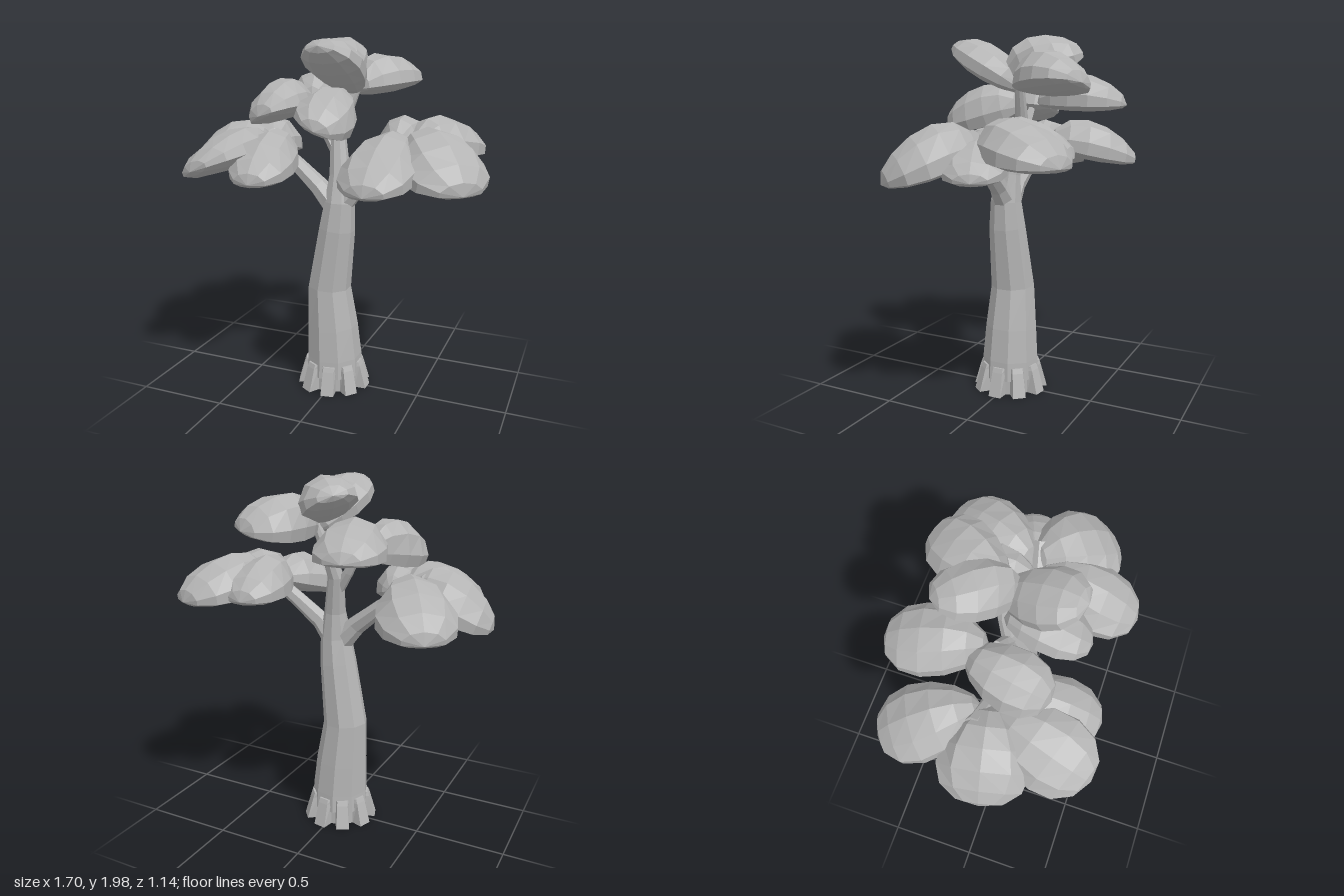
import * as THREE from 'three';

const V = (a) => new THREE.Vector3(...a);

// Skin a list of equal-length rings (bottom to top), capped at both ends.
function loft(rings) {
  const n = rings[0].length, pos = [], idx = [];
  rings.forEach((ring) => ring.forEach((p) => pos.push(p.x, p.y, p.z)));
  for (let r = 0; r < rings.length - 1; r++) {
    for (let i = 0; i < n; i++) {
      const a = r * n + i, b = r * n + (i + 1) % n;
      idx.push(a, a + n, b, b, a + n, b + n);
    }
  }
  [rings[0], rings[rings.length - 1]].forEach((ring, end) => {
    const c = new THREE.Vector3();
    ring.forEach((p) => c.addScaledVector(p, 1 / n));
    const ci = pos.length / 3, start = end ? (rings.length - 1) * n : 0;
    pos.push(c.x, c.y, c.z);
    for (let i = 0; i < n; i++) {
      const a = start + i, b = start + (i + 1) % n;
      if (end) idx.push(a, ci, b); else idx.push(a, b, ci);
    }
  });
  const g = new THREE.BufferGeometry();
  g.setAttribute('position', new THREE.Float32BufferAttribute(pos, 3));
  g.setIndex(idx);
  g.computeVertexNormals();
  return g;
}

// Tapered limb through stations [x, y, z, radius].
function limb(stations, sides) {
  const pts = stations.map((s) => V(s));
  return loft(stations.map((s, k) => {
    const dir = pts[Math.min(k + 1, pts.length - 1)].clone().sub(pts[Math.max(k - 1, 0)]).normalize();
    const q = new THREE.Quaternion().setFromUnitVectors(new THREE.Vector3(0, 1, 0), dir);
    return Array.from({ length: sides }, (_, i) => {
      const a = (i + 0.5) / sides * Math.PI * 2;
      return new THREE.Vector3(Math.cos(a) * s[3], 0, Math.sin(a) * s[3]).applyQuaternion(q).add(pts[k]);
    });
  }));
}

// Egg-shaped pad of foliage from its narrow base to its tip, domed above and shallow below.
function pad(base, tip, width, up, down, lean = 0, skew = 0.25) {
  const b = V(base), t = V(tip), len = b.distanceTo(t);
  const g = new THREE.SphereGeometry(1, 10, 7).rotateZ(-Math.PI / 2);
  const p = g.attributes.position;
  for (let i = 0; i < p.count; i++) {
    const x = p.getX(i), y = p.getY(i), z = p.getZ(i);
    const height = y > 0 ? up * (1 - skew * x) : down;
    p.setXYZ(i, x * len / 2, y * height, z * width / 2 * (1 + 0.24 * x));
  }
  const X = t.clone().sub(b).normalize();
  const Z = X.clone().cross(new THREE.Vector3(lean, 1, 0)).normalize();
  const Y = Z.clone().cross(X);
  g.applyMatrix4(new THREE.Matrix4().makeBasis(X, Y, Z).setPosition(b.add(t).multiplyScalar(0.5)));
  g.computeVertexNormals();
  return g;
}

export function createModel() {
  const tree = new THREE.Group();
  tree.name = 'tree';
  const grey = new THREE.MeshStandardMaterial({ color: 0xb4b4b4, flatShading: true });
  grey.name = 'grey';
  const add = (name, geometry, parent = tree) => {
    const m = new THREE.Mesh(geometry, grey);
    m.name = name;
    parent.add(m);
  };

  // Curved trunk
  add('trunk', limb([
    [-0.01, 0.08, 0, 0.165], [-0.01, 0.18, 0, 0.16], [-0.02, 0.36, 0, 0.147],
    [-0.04, 0.6, 0, 0.125], [0.01, 0.95, 0.01, 0.104], [0.025, 1.1, 0.01, 0.087],
    [0.02, 1.25, -0.01, 0.06], [-0.005, 1.45, -0.05, 0.045], [0.02, 1.56, -0.08, 0.036],
    [0.09, 1.74, -0.1, 0.025]], 9));

  // Root collar: toothed flare with a flat bottom
  const teeth = 9;
  const star = (y, outer, inner) => Array.from({ length: teeth * 4 }, (_, i) => {
    const step = [-0.25, 0.25, 0.38, 0.62][i % 4];
    const a = (Math.floor(i / 4) + step) / teeth * Math.PI * 2;
    const r = i % 4 < 2 ? outer : inner;
    return new THREE.Vector3(Math.cos(a) * r - 0.01, y, Math.sin(a) * r);
  });
  add('roots', loft([star(0, 0.212, 0.15), star(0.13, 0.175, 0.15), star(0.155, 0.165, 0.15)]));

  // Branches, each ending in a stub among the foliage
  add('rightBranch', limb([[0.01, 1.06, 0.01, 0.07], [-0.1, 1.18, 0.01, 0.055],
    [-0.25, 1.3, -0.01, 0.044], [-0.39, 1.39, -0.03, 0.04], [-0.52, 1.47, -0.05, 0.045]], 7));
  add('leftBranch', limb([[0.03, 1.08, 0.01, 0.07], [0.12, 1.18, 0.01, 0.052],
    [0.26, 1.29, 0, 0.044], [0.39, 1.39, -0.02, 0.04], [0.52, 1.47, -0.05, 0.045]], 7));
  add('upperBranch', limb([[0, 1.36, -0.03, 0.035], [-0.08, 1.48, -0.05, 0.028],
    [-0.15, 1.6, -0.06, 0.02]], 6));

  // Foliage clusters: base, tip, width, height above, depth below, sideways lean, peak skew
  const clusters = {
    rightFoliage: [
      [[-0.4, 1.39, -0.05], [-0.68, 1.28, -0.51], 0.4, 0.18, 0.05],
      [[-0.38, 1.4, -0.01], [-0.84, 1.23, 0.08], 0.47, 0.19, 0.04],
      [[-0.4, 1.4, 0.02], [-0.57, 1.32, 0.56], 0.42, 0.14, 0.06, -0.4],
      [[-0.3, 1.39, 0], [-0.26, 1.27, 0.53], 0.34, 0.16, 0.06],
    ],
    middleFoliage: [
      [[-0.18, 1.63, -0.08], [-0.29, 1.62, -0.57], 0.36, 0.17, 0.04],
      [[-0.23, 1.6, -0.18], [-0.33, 1.58, 0.27], 0.32, 0.18, 0.04, -0.4],
      [[-0.01, 1.61, -0.07], [0.03, 1.53, 0.37], 0.32, 0.16, 0.05, 0.45],
    ],
    topFoliage: [
      [[0.07, 1.7, -0.1], [0.03, 1.94, 0.31], 0.32, 0.12, 0.065, 0, 0],
      [[0.08, 1.75, -0.02], [-0.15, 1.9, -0.36], 0.3, 0.17, 0.05, 0.3],
      [[0.1, 1.71, -0.09], [0.27, 1.73, -0.52], 0.34, 0.18, 0.04, -0.25],
    ],
    leftFoliage: [
      [[0.42, 1.41, -0.06], [0.62, 1.35, -0.56], 0.4, 0.18, 0.05],
      [[0.42, 1.41, -0.06], [0.77, 1.25, 0.3], 0.47, 0.19, 0.05],
      [[0.36, 1.4, -0.03], [0.35, 1.26, 0.55], 0.39, 0.17, 0.06],
      [[0.33, 1.41, -0.02], [0.31, 1.37, -0.5], 0.32, 0.17, 0.05],
      [[0.4, 1.38, -0.04], [0.76, 1.28, -0.18], 0.32, 0.12, 0.05],
    ],
  };
  for (const [name, pads] of Object.entries(clusters)) {
    const group = new THREE.Group();
    group.name = name;
    tree.add(group);
    pads.forEach((p) => add('leafPad', pad(...p), group));
  }
  return tree;
}
